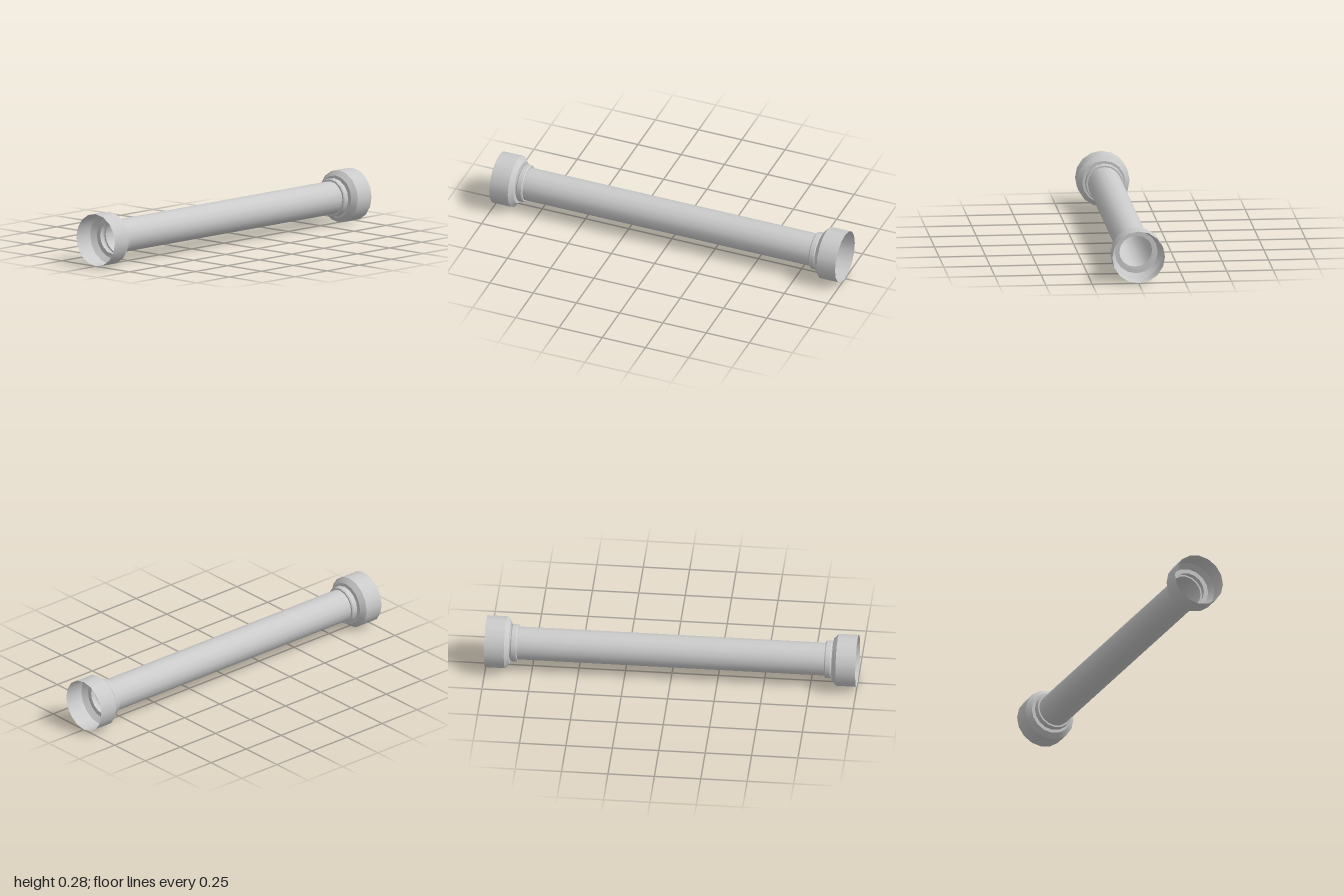
import * as THREE from 'three';

const SIDES = 16;
const RADIUS = 0.142;

export function createModel() {
  const model = new THREE.Group();
  model.name = 'flangedPipe';
  const material = new THREE.MeshStandardMaterial({ color: 0xcccccc, side: THREE.DoubleSide });

  // Thin open shell along z; every band of the profile [radius, z] keeps sharp rims
  function shell(name, profile, parent) {
    const part = new THREE.Group();
    part.name = name;
    for (let i = 1; i < profile.length; i++) {
      const points = [profile[i - 1], profile[i]].map(([r, z]) => new THREE.Vector2(r, z));
      const band = new THREE.Mesh(new THREE.LatheGeometry(points, SIDES).rotateX(Math.PI / 2), material);
      band.name = name + 'Band' + i;
      part.add(band);
    }
    parent.add(part);
  }

  // Long central tube
  shell('shaft', [[0.09, -0.828], [0.09, 0.828]], model);

  // Matching ends: raised bead, narrow groove, bevelled socket open at the end
  for (const [name, turn] of [['frontEnd', 0], ['backEnd', Math.PI]]) {
    const end = new THREE.Group();
    end.name = name;
    shell('bead', [[0.09, 0.828], [0.099, 0.828], [0.103, 0.834], [0.103, 0.858], [0.099, 0.864], [0.091, 0.864]], end);
    shell('groove', [[0.091, 0.864], [0.091, 0.869]], end);
    shell('socket', [[0.091, 0.869], [0.116, 0.869], [RADIUS, 0.893], [RADIUS, 1]], end);
    end.rotation.y = turn;
    model.add(end);
  }

  // Rest the pipe on the floor
  model.children.forEach((part) => { part.position.y = RADIUS; });
  return model;
}
